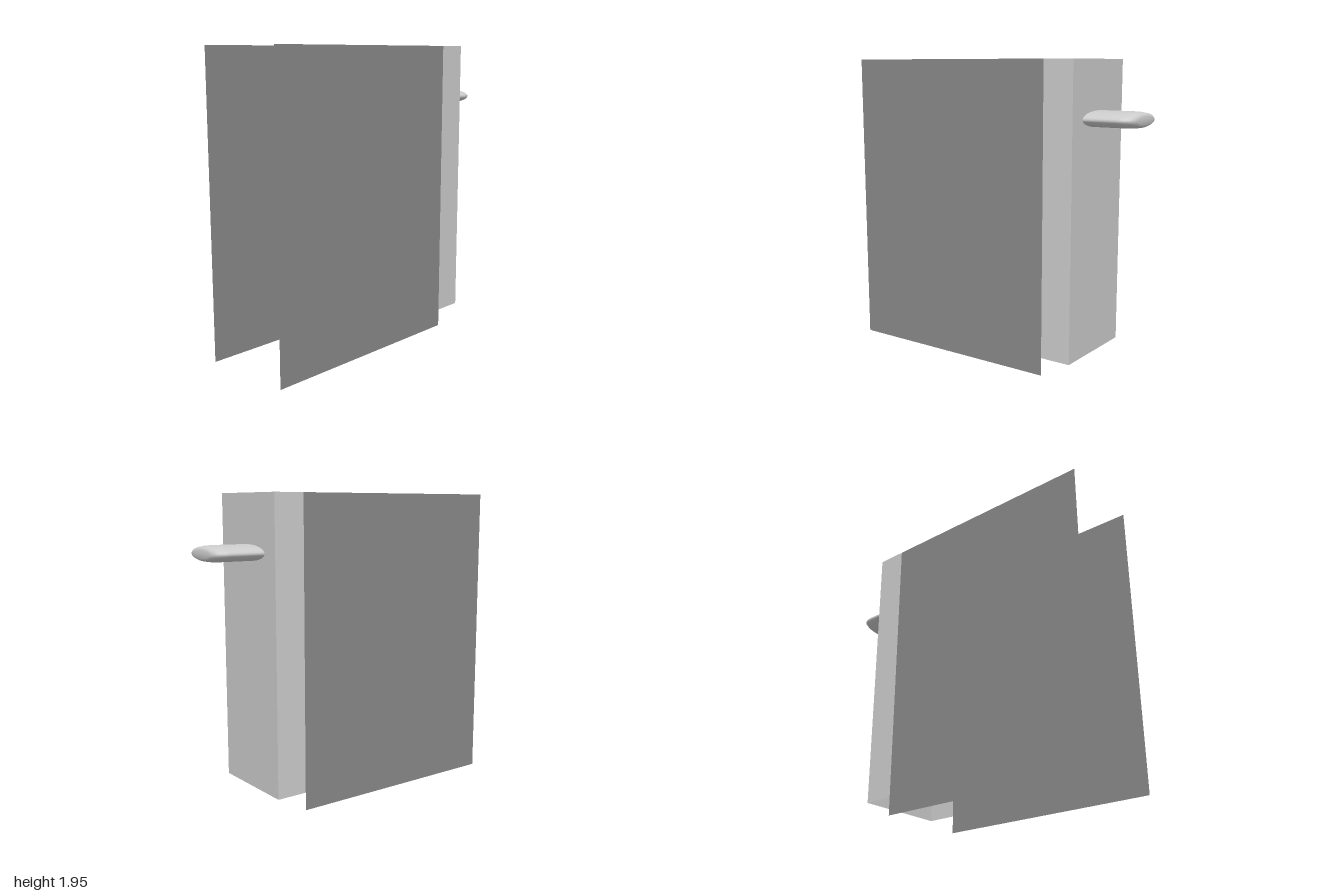
import * as THREE from 'three';

export function createModel() {
  const model = new THREE.Group();

  const lightGrey = new THREE.MeshStandardMaterial({ color: 0xcccccc, side: THREE.DoubleSide });
  lightGrey.name = 'lightGrey';
  const darkGrey = new THREE.MeshStandardMaterial({ color: 0x898989, side: THREE.DoubleSide });
  darkGrey.name = 'darkGrey';

  const innerX = 0.485, outerX = 0.685, top = 1.945, bottom = 0.115, halfDepth = 0.305;

  function sheet(name, width, height, material, position, parent, rotation = [0, 0, 0]) {
    const mesh = new THREE.Mesh(new THREE.PlaneGeometry(width, height), material);
    mesh.name = name;
    mesh.position.set(...position);
    mesh.rotation.set(...rotation);
    parent.add(mesh);
  }

  // Thin side panels and the matching cheeks of the end cover
  const cover = new THREE.Group();
  cover.name = 'endCover';
  model.add(cover);
  const coverW = outerX - innerX, coverH = top - bottom;
  const coverX = (innerX + outerX) / 2, coverY = (top + bottom) / 2;
  for (const [label, s] of [['front', 1], ['back', -1]]) {
    const turn = [0, s > 0 ? 0 : Math.PI, 0];
    sheet(label + 'Panel', innerX + 1, top, darkGrey, [(innerX - 1) / 2, top / 2, s * halfDepth], model, turn);
    sheet(label + 'CoverCheek', coverW, coverH, lightGrey, [coverX, coverY, s * halfDepth], cover, turn);
  }

  // End face and top of the cover; it is open underneath and towards the panels
  sheet('coverFace', 2 * halfDepth, coverH, lightGrey, [outerX, coverY, 0], cover, [0, Math.PI / 2, 0]);
  sheet('coverTop', coverW, 2 * halfDepth, lightGrey, [coverX, top, 0], cover, [-Math.PI / 2, 0, 0]);

  // Flattened round handle with a softened tip
  const profile = [[1, 0], [1, 0.12], [1, 0.225], [0.975, 0.255], [0.88, 0.288], [0.72, 0.305], [0.5, 0.315], [0, 0.315]]
    .map(([r, h]) => new THREE.Vector2(r, h));
  const handleGeometry = new THREE.LatheGeometry(profile, 32);
  handleGeometry.scale(0.05, 1, 0.19);
  handleGeometry.rotateZ(-Math.PI / 2);
  const handle = new THREE.Mesh(handleGeometry, lightGrey);
  handle.name = 'handle';
  handle.position.set(outerX, 1.59, 0);
  model.add(handle);

  return model;
}
